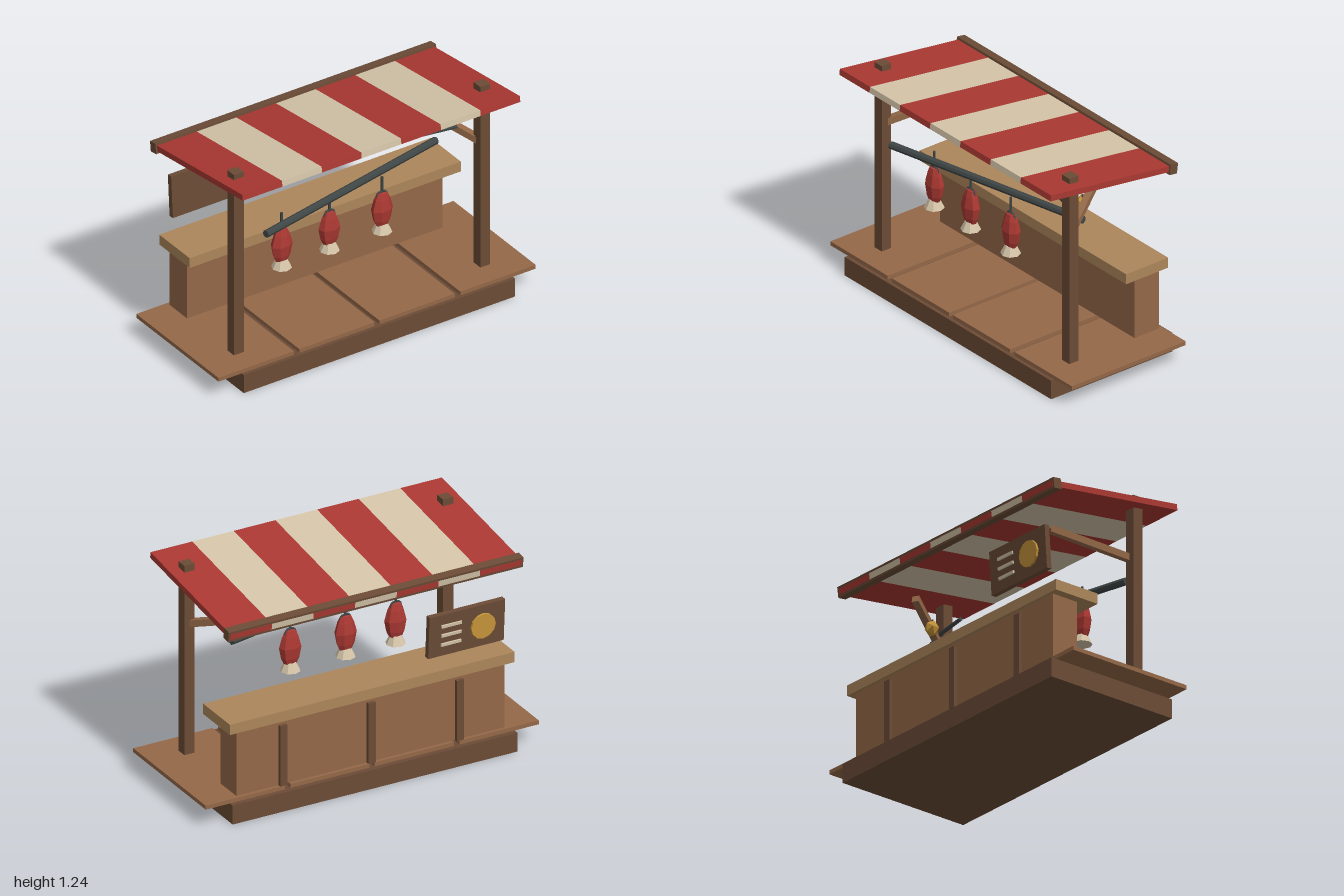
import * as THREE from 'three';

const mat = (color) => new THREE.MeshStandardMaterial({ color, flatShading: true });
const darkWood = mat(0x6b4b36), wood = mat(0x946848), paleWood = mat(0xac865a);
const red = mat(0xaa3832), cream = mat(0xd4c4a8), iron = mat(0x3f4646), gold = mat(0xc8963a);

function add(parent, name, geometry, material, x = 0, y = 0, z = 0) {
  const mesh = new THREE.Mesh(geometry, material);
  mesh.name = name;
  mesh.position.set(x, y, z);
  parent.add(mesh);
  return mesh;
}

// Box given by its extents along each axis
function block(parent, name, material, [x0, x1], [y0, y1], [z0, z1]) {
  return add(parent, name, new THREE.BoxGeometry(x1 - x0, y1 - y0, z1 - z0), material,
    (x0 + x1) / 2, (y0 + y1) / 2, (z0 + z1) / 2);
}

// Bar between two points, square or round
function bar(parent, name, material, from, to, size, sides) {
  const a = new THREE.Vector3(...from), b = new THREE.Vector3(...to);
  const length = a.distanceTo(b);
  const geometry = sides
    ? new THREE.CylinderGeometry(size, size, length, sides).rotateX(Math.PI / 2)
    : new THREE.BoxGeometry(size, size, length);
  const mesh = add(parent, name, geometry, material);
  mesh.position.copy(a).lerp(b, 0.5);
  mesh.lookAt(b);
  return mesh;
}

function group(parent, name, x = 0, y = 0, z = 0) {
  const g = new THREE.Group();
  g.name = name;
  g.position.set(x, y, z);
  parent.add(g);
  return g;
}

function buildPlatform(model) {
  const platform = group(model, 'platform');
  block(platform, 'base', darkWood, [-0.855, 0.855], [0, 0.11], [-0.413, 0.404]);
  for (const x of [-0.7625, -0.2525, 0.2525, 0.7625]) {
    block(platform, 'deckPlank', wood, [x - 0.2375, x + 0.2375], [0.11, 0.133], [-0.383, 0.383]);
  }
}

function buildCounter(model) {
  const counter = group(model, 'counter');
  block(counter, 'counterBody', wood, [-0.805, 0.805], [0.133, 0.51], [-0.363, -0.197]);
  block(counter, 'counterTop', paleWood, [-0.855, 0.855], [0.51, 0.57], [-0.383, -0.1]);
  for (const x of [-0.53, 0, 0.53]) {
    block(counter, 'batten', darkWood, [x - 0.022, x + 0.022], [0.133, 0.485], [-0.383, -0.363]);
  }
}

function buildFrame(model) {
  const frame = group(model, 'frame');
  for (const s of [-1, 1]) {
    block(frame, 'post', darkWood, [s * 0.777 - 0.031, s * 0.777 + 0.031], [0.133, 1.24], [0.181, 0.243]);
    bar(frame, 'brace', wood, [s * 0.77, 0.888, 0.205], [s * 0.555, 1.026, -0.168], 0.038);
  }
}

function buildAwning(model) {
  const awning = group(model, 'awning', 0, 1.16, 0);
  awning.rotation.x = -0.131;
  for (let i = 0; i < 7; i++) {
    const x = -0.875 + i * 0.25;
    block(awning, 'awningStripe', i % 2 ? cream : red, [x, x + 0.25], [-0.017, 0.017], [-0.426, 0.426]);
  }
  block(awning, 'awningBeam', darkWood, [-0.885, 0.885], [-0.03, 0.03], [-0.425, -0.375]);
}

function buildMeat(model) {
  const rack = group(model, 'meatRack', 0, 0, 0.14);
  bar(rack, 'rail', iron, [-0.645, 0.833, 0], [0.642, 0.833, 0], 0.021, 8);
  const profile = [[0, 0.737], [0.03, 0.732], [0.048, 0.695], [0.065, 0.635], [0.053, 0.572], [0.038, 0.54], [0, 0.54]]
    .map(([r, y]) => new THREE.Vector2(r, y)).reverse();
  [-0.438, -0.136, 0.195].forEach((x, i) => {
    const cut = group(rack, 'hangingMeat', x);
    add(cut, 'hook', new THREE.CylinderGeometry(0.007, 0.007, 0.13, 6), iron, 0, 0.765, 0);
    add(cut, 'hookRing', new THREE.TorusGeometry(0.032, 0.007, 5, 12), iron, 0, 0.71, 0);
    const body = add(cut, 'meat', new THREE.LatheGeometry(profile, 7).rotateY(0.4 + i * 0.5), red);
    body.scale.z = 0.65;
    add(cut, 'meatFrill', new THREE.CylinderGeometry(0.03, 0.055, 0.05, 8), cream, 0, 0.522, 0);
  });
}

function buildLantern(model) {
  const lantern = group(model, 'lantern', 0.575, 0, 0);
  bar(lantern, 'lanternArm', iron, [0, 0.96, 0.2], [0, 0.935, -0.03], 0.011, 6);
  add(lantern, 'lanternHanger', new THREE.CylinderGeometry(0.006, 0.006, 0.03, 6), iron, 0, 0.935, -0.035);
  const lamp = add(lantern, 'lanternGlass', new THREE.IcosahedronGeometry(0.04, 0), gold, 0, 0.9, -0.04);
  lamp.scale.y = 1.15;
}

// Sign faces the back, where the customers stand
function buildSign(model) {
  const sign = group(model, 'sign', -0.56, 0.783, -0.38);
  sign.rotation.x = -0.067;
  block(sign, 'signBoard', darkWood, [-0.227, 0.227], [-0.123, 0.123], [-0.0155, 0.0155]);
  const disc = new THREE.CylinderGeometry(0.073, 0.073, 0.014, 12).rotateX(Math.PI / 2);
  add(sign, 'signDisc', disc, gold, -0.095, 0, -0.0215);
  for (const y of [-0.055, 0, 0.055]) {
    block(sign, 'signLine', cream, [0.035, 0.155], [y - 0.008, y + 0.008], [-0.025, -0.015]);
  }
}

export function createModel() {
  const model = new THREE.Group();
  model.name = 'marketStall';
  buildPlatform(model);
  buildCounter(model);
  buildFrame(model);
  buildAwning(model);
  buildMeat(model);
  buildLantern(model);
  buildSign(model);
  return model;
}
